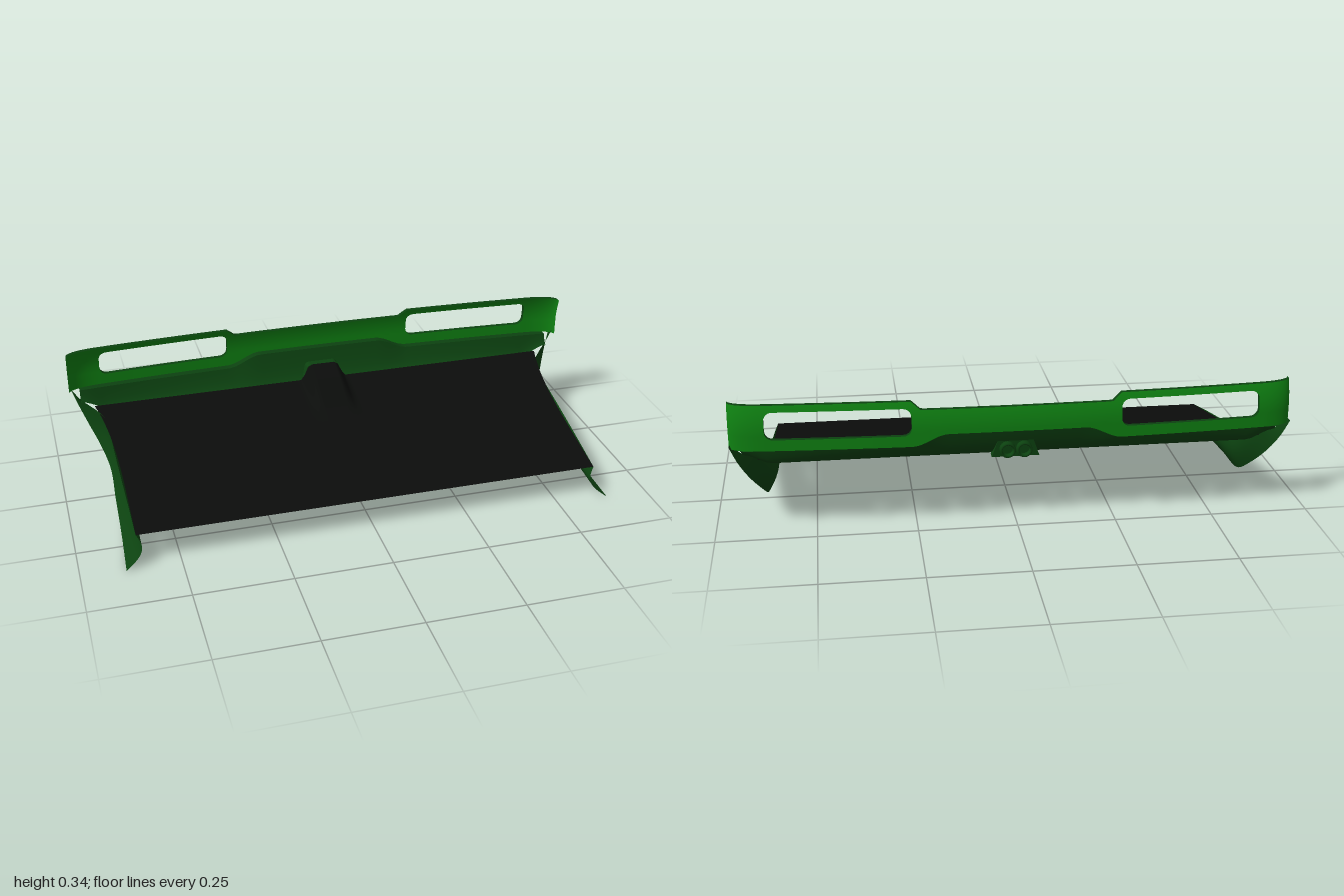
import * as THREE from 'three';
import { ParametricGeometry } from 'three/addons/geometries/ParametricGeometry.js';

const paint = new THREE.MeshStandardMaterial({ color: 0x0f8212, side: THREE.DoubleSide });
const shade = new THREE.MeshStandardMaterial({ color: 0x0c4210, side: THREE.DoubleSide });
const dark = new THREE.MeshStandardMaterial({ color: 0x0b0d0b, side: THREE.DoubleSide });
const { lerp, smoothstep } = THREE.MathUtils;

// Smooth sheet from a function (u, v) -> [x, y, z]
function sheet(name, mat, fn, nu, nv) {
  const geo = new ParametricGeometry((u, v, p) => p.set(...fn(u, v)), nu, nv);
  const mesh = new THREE.Mesh(geo, mat);
  mesh.name = name;
  return mesh;
}

// Outline of the rear band
const lipY = x => lerp(0.32, 0.29, smoothstep(Math.abs(x), 0.17, 0.26));
const topY = x => lerp(0.382, 0.402, smoothstep(Math.abs(x), 0.235, 0.262));
const backZ = (x, y) => -1 + 0.028 * (x / 0.7) ** 2 + 0.014 * Math.max(0, (y - 0.33) / 0.07) ** 2;
const HOLE = { x0: 0.26, x1: 0.615, y0: 0.318, y1: 0.386, r: 0.02 };

// Height lost to the rounded corners of a lamp opening
function cornerInset(x) {
  const d = HOLE.r - Math.min(x - HOLE.x0, HOLE.x1 - x);
  return d <= 0 ? 0 : HOLE.r - Math.sqrt(Math.max(0, HOLE.r ** 2 - d * d));
}

// Thin solid panel: two faces and four edges; at(u) gives x and forward shift
function solidPatch(group, name, at, lo, hi, nu) {
  const T = 0.012;
  const point = (u, v, d) => {
    const { x, dz = 0, s = x } = at(u);
    const y = lerp(lo(s), hi(s), v);
    return [x, y, backZ(x, y) + dz + d * T];
  };
  group.add(
    sheet(name, paint, (u, v) => point(u, v, 0), nu, 6),
    sheet(name + 'Inner', paint, (u, v) => point(u, v, 1), nu, 6),
    sheet(name + 'TopEdge', shade, (u, v) => point(u, 1, v), nu, 1),
    sheet(name + 'BottomEdge', shade, (u, v) => point(u, 0, v), nu, 1),
    sheet(name + 'StartEdge', shade, (u, v) => point(0, u, v), 4, 1),
    sheet(name + 'EndEdge', shade, (u, v) => point(1, u, v), 4, 1)
  );
}

function buildRearBand() {
  const g = new THREE.Group();
  g.name = 'rearBand';
  solidPatch(g, 'centrePanel', u => ({ x: lerp(-HOLE.x0, HOLE.x0, u) }), lipY, topY, 48);
  for (const side of [1, -1]) {
    // Cosine spacing puts more columns at the rounded corners
    const across = u => {
      const s = lerp(HOLE.x0, HOLE.x1, (1 - Math.cos(u * Math.PI)) / 2);
      return { x: side * s, s };
    };
    solidPatch(g, 'lampSill', across, lipY, s => HOLE.y0 + cornerInset(s), 32);
    solidPatch(g, 'lampTopBar', across, s => HOLE.y1 - cornerInset(s), topY, 32);
    // End of the band wraps forward around the corner
    const wrap = u => {
      const a = u * Math.PI / 2;
      return { x: side * (0.615 + 0.088 * Math.sin(a) ** 0.8), dz: 0.028 * (1 - Math.cos(a)), s: 0.615 };
    };
    solidPatch(g, 'cornerPanel', wrap, lipY, topY, 14);
  }
  return g;
}

// Floor height, with a central tunnel rising towards the rear
const floorY = z => 0.145 + 0.2 * (-0.42 - z);
const tunnel = (x, z) => 0.045 * smoothstep(-z, 0.74, 0.91) *
  (1 - smoothstep(Math.abs(x), 0.035, 0.065));
const REAR = -0.925;

const curve = pts => new THREE.CatmullRomCurve3(pts.map(p => new THREE.Vector3(...p)));

// Side skin: lofted between the lower outer edge and the floor edge
function buildSide(side) {
  const outer = curve([[0.702, 0.3, -0.968], [0.684, 0.25, -0.95], [0.662, 0.2, -0.92],
    [0.637, 0.15, -0.875], [0.622, 0.112, -0.82], [0.626, 0.095, -0.68], [0.631, 0.08, -0.53], [0.638, 0.065, -0.39]]);
  const inner = curve([[0.7, 0.3, -0.943], [0.675, 0.268, -0.93], [0.645, 0.25, -0.905],
    [0.622, 0.237, -0.875], [0.616, 0.222, -0.81], [0.613, 0.197, -0.68], [0.609, 0.168, -0.53], [0.606, 0.145, -0.42]]);
  return sheet('sideSkirt', shade, (u, v) => {
    const a = inner.getPoint(u), b = outer.getPoint(u);
    const p = a.lerp(b, v);
    const tuck = 0.026 * smoothstep(u, 0.25, 0.75) * Math.sin(v * Math.PI);
    return [side * (p.x - tuck), p.y, p.z];
  }, 48, 10);
}

export function createModel() {
  const model = new THREE.Group();
  model.name = 'rearBodySection';
  model.add(buildRearBand(), buildSide(1), buildSide(-1));

  // Floor pan
  model.add(sheet('floorPan', dark, (u, v) => {
    const z = lerp(-0.42, REAR, v);
    const x = lerp(-1, 1, u) * lerp(0.606, 0.64, v ** 4);
    return [x, floorY(z) + tunnel(x, z), z];
  }, 120, 32));

  // Lower panel, closing the gap between floor and band
  const half = 0.675;
  const panelTopZ = x => backZ(x, 0.3) + 0.032;
  model.add(sheet('lowerPanel', shade, (u, v) => {
    const x = lerp(-half, half, u);
    const y0 = lerp(0.236, 0.262, smoothstep(Math.abs(x), 0.6, half));
    const y = lerp(y0, lipY(x), v);
    return [x, y, lerp(REAR, panelTopZ(x), Math.sqrt(v))];
  }, 90, 8));

  // Lip joining the band to the lower panel
  model.add(sheet('bandLip', shade, (u, v) => {
    const x = lerp(-half, half, u);
    return [x, lipY(x), lerp(backZ(x, 0.3), panelTopZ(x), v)];
  }, 90, 2));

  // Raised surround where the tunnel meets the lower panel
  const arch = new THREE.Shape();
  arch.moveTo(-0.06, 0.235).lineTo(-0.045, 0.278).quadraticCurveTo(-0.042, 0.286, -0.032, 0.286);
  arch.lineTo(0.032, 0.286).quadraticCurveTo(0.042, 0.286, 0.045, 0.278).lineTo(0.06, 0.235);
  const surround = new THREE.Mesh(new THREE.ExtrudeGeometry(arch, { depth: 0.025, bevelEnabled: false }), shade);
  surround.position.z = -0.955;
  surround.name = 'tunnelSurround';
  model.add(surround);

  // Twin outlet tips
  const tip = new THREE.LatheGeometry([[0.014, -0.02], [0.014, 0.02], [0.018, 0.022], [0.02, 0.018], [0.02, -0.02]]
    .map(p => new THREE.Vector2(...p)), 24);
  for (const side of [1, -1]) {
    const mesh = new THREE.Mesh(tip, shade);
    mesh.name = 'outletTip';
    mesh.rotation.x = -Math.PI / 2;
    mesh.position.set(side * 0.021, 0.256, -0.95);
    model.add(mesh);
  }
  return model;
}
